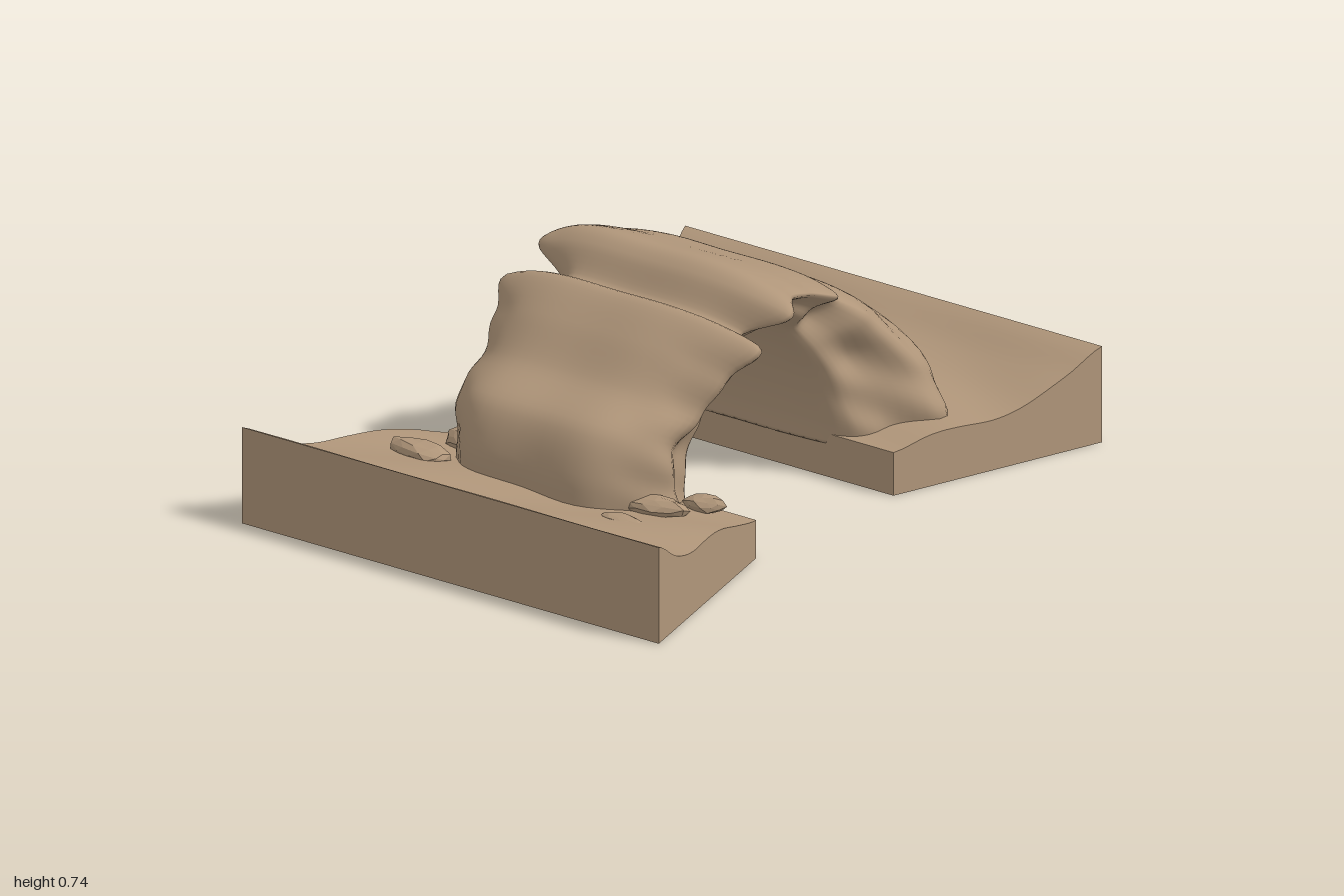
import * as THREE from 'three';

const stone = new THREE.MeshStandardMaterial({ color: 0xb0967a });

// Slices through the arch from the right foot over the crown to the left foot:
// outer x, outer y, widest front z, widest back z, where the widest point lies between inner (0) and outer (1)
const slices = [
  [-0.66, 0.10, 0.40, 0.38, 0.40],
  [-0.66, 0.26, 0.38, 0.37, 0.48],
  [-0.61, 0.39, 0.37, 0.38, 0.55],
  [-0.47, 0.47, 0.40, 0.38, 0.58],
  [-0.37, 0.58, 0.44, 0.38, 0.63],
  [-0.27, 0.66, 0.51, 0.40, 0.67],
  [-0.19, 0.63, 0.38, 0.26, 0.60],
  [-0.13, 0.71, 0.50, 0.38, 0.60],
  [-0.07, 0.74, 0.48, 0.39, 0.60],
  [0.03, 0.71, 0.44, 0.40, 0.62],
  [0.13, 0.67, 0.43, 0.38, 0.66],
  [0.24, 0.63, 0.43, 0.36, 0.70],
  [0.33, 0.575, 0.36, 0.25, 0.73],
  [0.42, 0.53, 0.42, 0.42, 0.70],
  [0.56, 0.44, 0.44, 0.51, 0.62],
  [0.68, 0.34, 0.49, 0.49, 0.57],
  [0.78, 0.20, 0.53, 0.44, 0.50],
  [0.82, 0.10, 0.53, 0.43, 0.50],
];

// Control points around one slice: outer skin, front face, inner skin, back face
function sliceLoop([ox, oy, front, back, s], i) {
  // the opening is a rounded arch
  const angle = Math.PI * i / (slices.length - 1);
  const ix = -0.3 * Math.cos(angle);
  const iy = 0.1 + 0.485 * Math.pow(Math.abs(Math.sin(angle)), 1.2);
  const at = (k, z) => new THREE.Vector3(ix + (ox - ix) * k, iy + (oy - iy) * k, z);
  const half = (peak, sign) => [
    at(1, 0.2 * sign),
    at((1 + s) / 2 + 0.05, (0.2 + 0.62 * (peak - 0.2)) * sign),
    at(s, peak * sign),
    at(s * 0.5, peak * 0.83 * sign),
    at(0.06, (0.1 + 0.53 * peak) * sign),
    at(0, 0.18 * sign),
  ];
  return [at(1, 0), ...half(front, 1), at(0, 0), ...half(back, -1).reverse()];
}

// Skin the slices with smooth curves, first along the arch and then around it
function archGeometry(along = 110, around = 64) {
  const loops = slices.map(sliceLoop);
  const rails = loops[0].map((_, k) =>
    new THREE.CatmullRomCurve3(loops.map(l => l[k]), false, 'catmullrom', 0.45));
  const positions = [], index = [];
  for (let i = 0; i <= along; i++) {
    const ring = new THREE.CatmullRomCurve3(rails.map(r => r.getPoint(i / along)), true);
    for (let j = 0; j < around; j++) {
      const p = ring.getPoint(j / around);
      // worn grooves on the two broken faces only
      const face = THREE.MathUtils.smoothstep(Math.abs(p.z), 0.24, 0.38);
      p.z += face * 0.012 * Math.sin(p.x * 31 + p.y * 17) * Math.sin(p.y * 27 - p.x * 9 + p.z * 4);
      positions.push(p.x, p.y, p.z);
    }
  }
  for (let i = 0; i < along; i++) {
    for (let j = 0; j < around; j++) {
      const a = i * around + j, b = i * around + (j + 1) % around;
      index.push(a, b, a + around, b, b + around, a + around);
    }
  }
  // flat undersides of the feet
  const end = along * around;
  for (let j = 1; j < around - 1; j++) {
    index.push(0, j + 1, j, end, end + j, end + j + 1);
  }
  const geometry = new THREE.BufferGeometry();
  geometry.setAttribute('position', new THREE.Float32BufferAttribute(positions, 3));
  geometry.setIndex(index);
  geometry.computeVertexNormals();
  return geometry;
}

// Ground block, wider towards the outside, with a rolling top;
// heights run from the gap to the outer rim
function groundGeometry(side, heights) {
  const profile = new THREE.SplineCurve(heights.map((h, i) => new THREE.Vector2(i, h)));
  const geometry = new THREE.BoxGeometry(1, 1, 1, 28, 1, 28);
  const p = geometry.attributes.position;
  for (let i = 0; i < p.count; i++) {
    const t = 0.5 + side * p.getX(i);
    const z = p.getZ(i) * 2 * (0.55 + 0.2 * t);
    const wave = 0.008 * Math.sin(t * Math.PI) * Math.sin(z * 9 + t * 8 + side);
    const y = p.getY(i) > 0 ? profile.getPoint(t).y + wave : 0;
    p.setXYZ(i, side * (0.31 + 0.69 * t), y, z);
  }
  geometry.computeVertexNormals();
  return geometry;
}

// Loose rock with an uneven surface
function rockGeometry(seed) {
  const geometry = new THREE.IcosahedronGeometry(1, 1);
  const p = geometry.attributes.position, v = new THREE.Vector3();
  for (let i = 0; i < p.count; i++) {
    v.fromBufferAttribute(p, i);
    v.multiplyScalar(1 + 0.14 * Math.sin(v.x * 4 + seed) * Math.cos(v.z * 3 + v.y * 2 + seed * 2));
    p.setXYZ(i, v.x, v.y, v.z);
  }
  geometry.computeVertexNormals();
  return geometry;
}

export function createModel() {
  const model = new THREE.Group();
  const add = (name, geometry) => {
    const mesh = new THREE.Mesh(geometry, stone);
    mesh.name = name;
    model.add(mesh);
    return mesh;
  };

  add('rockArch', archGeometry());
  add('rightGround', groundGeometry(-1, [0.115, 0.145, 0.17, 0.185, 0.195, 0.225, 0.29]));
  add('leftGround', groundGeometry(1, [0.13, 0.15, 0.155, 0.16, 0.18, 0.225, 0.29]));

  // x, y, z, radii and turn of each loose rock
  const rocks = [
    [-0.54, 0.185, 0.38, 0.045, 0.03, 0.10, 0.25],
    [-0.38, 0.155, 0.42, 0.035, 0.028, 0.06, 0.3],
    [-0.69, 0.187, 0.37, 0.035, 0.014, 0.075, -0.1],
    [-0.625, 0.185, -0.41, 0.05, 0.03, 0.11, -0.1],
    [-0.44, 0.17, -0.39, 0.05, 0.035, 0.06, 0.2],
    [0.62, 0.17, -0.44, 0.03, 0.045, 0.06, 0.3],
  ];
  rocks.forEach(([x, y, z, rx, ry, rz, turn], i) => {
    const rock = add('looseRock' + (i + 1), rockGeometry(i * 1.7));
    rock.position.set(x, y, z);
    rock.scale.set(rx, ry, rz);
    rock.rotation.y = turn;
  });
  return model;
}
